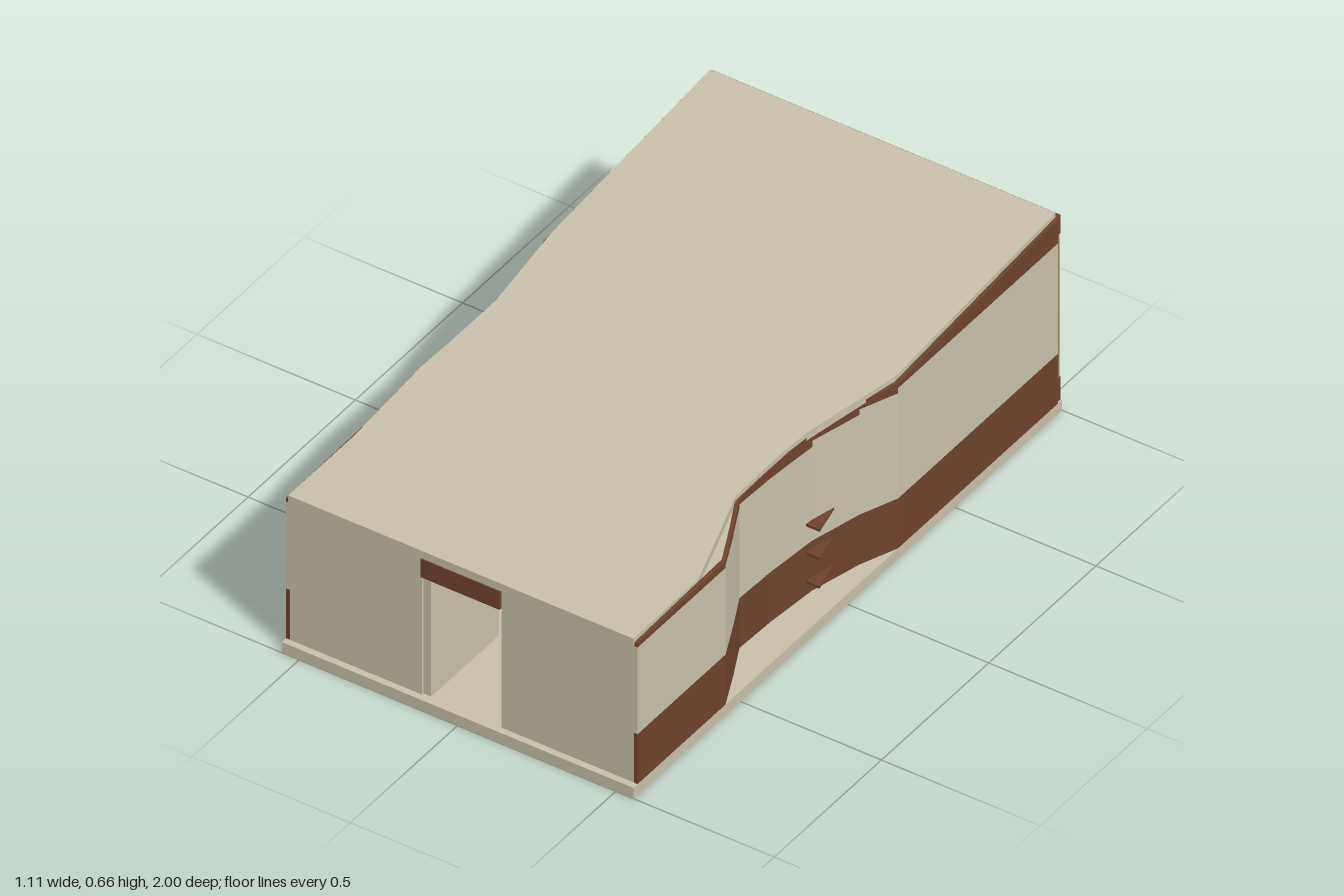
import * as THREE from 'three';

const mat = (name, color, side = THREE.FrontSide) => {
  const m = new THREE.MeshStandardMaterial({ color, side });
  m.name = name;
  return m;
};

// Roof surface: flat over the entrance, rising towards the back
const roofY = (z) => (z > 0.68 ? 0.515 : 0.515 + ((0.68 - z) / 1.66) * 0.145);

export function createModel() {
  const house = new THREE.Group();
  house.name = 'house';
  const plaster = mat('plaster', 0xc8c0ab);
  const wood = mat('darkWood', 0x6f432e);
  const glass = mat('glass', 0x86afb7, THREE.DoubleSide);
  const frame = mat('frame', 0x98784f);

  const add = (name, geo, material) => {
    const mesh = new THREE.Mesh(geo, material);
    mesh.name = name;
    house.add(mesh);
    return mesh;
  };
  // Box given by its limits on each axis
  const box = (name, material, x0, x1, y0, y1, z0, z1) => {
    const mesh = add(name, new THREE.BoxGeometry(x1 - x0, y1 - y0, z1 - z0), material);
    mesh.position.set((x0 + x1) / 2, (y0 + y1) / 2, (z0 + z1) / 2);
  };
  // Unit box whose vertices are moved by a rule, with flat faces
  const bent = (name, material, geo, rule) => {
    const p = geo.attributes.position;
    for (let i = 0; i < p.count; i++) {
      p.setXYZ(i, ...rule(p.getX(i) + 0.5, p.getY(i) + 0.5, p.getZ(i) + 0.5));
    }
    const flat = geo.toNonIndexed();
    flat.computeVertexNormals();
    add(name, flat, material);
  };

  box('floorSlab', plaster, -0.555, 0.555, 0, 0.035, -1, 1);

  // Roof: stations of [z, left edge, right edge]
  const stations = [
    [-0.983, -0.545, 0.545], [-0.24, -0.545, 0.543], [-0.05, -0.53, 0.495],
    [0.05, -0.522, 0.47], [0.13, -0.527, 0.458], [0.25, -0.535, 0.45],
    [0.36, -0.545, 0.445], [0.52, -0.545, 0.495], [0.68, -0.545, 0.543],
    [0.985, -0.545, 0.545],
  ];
  const n = stations.length - 1;
  bent('roof', plaster, new THREE.BoxGeometry(1, 1, 1, 1, 1, n), (u, v, w) => {
    const [z, x0, x1] = stations[Math.round(w * n)];
    return [x0 + (x1 - x0) * u, roofY(z) - 0.025 * (1 - v), z];
  });

  // Side walls: points of [x, z, top of the plaster panel that follows]
  const rightPath = [
    [0.555, 0.98, 0.487], [0.555, 0.57, 0.495], [0.502, 0.455, 0.5],
    [0.45, 0.35, 0.51], [0.455, 0.21, 0.51], [0.47, 0.04, 0.53],
    [0.51, -0.12, 0.548], [0.555, -0.235, 0.565], [0.555, -0.98, 0],
  ];
  const leftPath = [
    [-0.555, -0.98, 0.565], [-0.555, -0.22, 0.55], [-0.525, -0.1, 0.535],
    [-0.515, 0.05, 0.522], [-0.535, 0.2, 0.505], [-0.555, 0.4, 0.49],
    [-0.555, 0.6, 0.487], [-0.555, 0.98, 0],
  ];
  const wall = (side, path) => {
    const thick = 0.012 * Math.sign(path[0][0]);
    for (let i = 0; i < path.length - 1; i++) {
      const [ax, az, top] = path[i];
      const [bx, bz] = path[i + 1];
      const strip = (name, material, low, high) =>
        bent(side + name, material, new THREE.BoxGeometry(1, 1, 1), (u, v, w) => {
          const z = az + (bz - az) * u;
          return [ax + (bx - ax) * u - thick * (1 - w), v > 0.5 ? high(z) : low, z];
        });
      strip('WallBase', wood, 0.035, () => 0.2);
      strip('WallPanel', plaster, 0.2, () => top);
      strip('Fascia', wood, top, (z) => roofY(z) - 0.015);
    }
  };
  wall('right', rightPath);
  wall('left', leftPath);

  // Small wedge fins on the recessed wall
  for (const y of [0.262, 0.168, 0.074]) {
    const fin = new THREE.Shape([
      new THREE.Vector2(0.455, -0.065),
      new THREE.Vector2(0.51, -0.065),
      new THREE.Vector2(0.488, 0.035),
    ]);
    const geo = new THREE.ExtrudeGeometry(fin, { depth: 0.008, bevelEnabled: false });
    geo.rotateX(-Math.PI / 2);
    add('fin', geo, wood).position.y = y;
  }

  // Front wall with a doorway, lintel and a door swung inwards
  box('frontWall', plaster, -0.543, -0.125, 0.035, 0.492, 0.968, 0.98);
  box('frontWall', plaster, 0.125, 0.543, 0.035, 0.492, 0.968, 0.98);
  box('lintel', wood, -0.125, 0.125, 0.43, 0.49, 0.966, 0.989);
  box('door', plaster, -0.125, -0.1, 0.036, 0.43, 0.66, 0.975);
  box('floorPanel', glass, 0.03, 0.3, 0.035, 0.039, 0.35, 0.7);

  // Glazed back wall
  box('backSill', wood, -0.55, 0.55, 0.035, 0.11, -1, -0.981);
  box('backHeader', wood, -0.55, 0.55, 0.585, 0.645, -1, -0.981);
  box('backWindow', glass, -0.545, 0.545, 0.11, 0.59, -0.988, -0.982);
  for (const x of [-0.537, 0, 0.537]) {
    box('mullion', frame, x - 0.012, x + 0.012, 0.11, 0.585, -0.995, -0.975);
  }
  return house;
}
